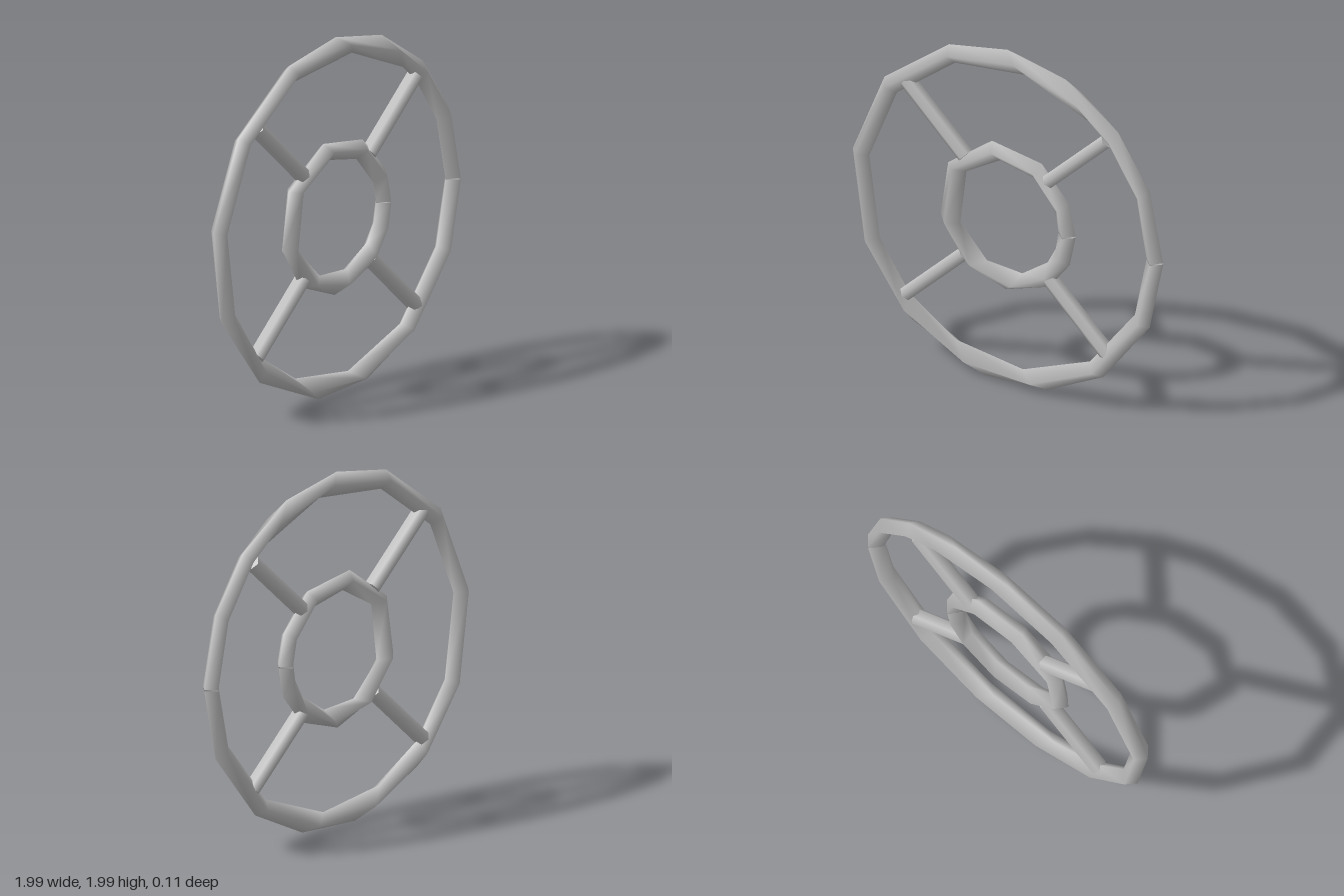
import * as THREE from 'three';

// Hoop with a diamond section: outer rim, front ridge, inner rim, back ridge.
// The outer and inner rims step round at slightly different angles (degrees).
function hoop(outerR, innerR, depth, outerAngles, innerAngles) {
  const midR = (outerR + innerR) / 2 + 0.005;
  const pos = [], index = [];
  const n = outerAngles.length;
  const add = (r, deg, z) => {
    const a = THREE.MathUtils.degToRad(deg);
    pos.push(r * Math.cos(a), 1 + r * Math.sin(a), z);
  };
  for (let i = 0; i < n; i++) {
    const mid = (outerAngles[i] + innerAngles[i]) / 2;
    add(outerR, outerAngles[i], 0);
    add(midR, mid, depth);
    add(innerR, innerAngles[i], 0);
    add(midR, mid, -depth);
  }
  for (let i = 0; i < n - 1; i++) {
    for (let j = 0; j < 4; j++) {
      const k = (j + 1) % 4;
      const a = i * 4 + j, b = i * 4 + k, d = a + 4, c = b + 4;
      index.push(a, d, b, b, d, c);
    }
  }
  const g = new THREE.BufferGeometry();
  g.setAttribute('position', new THREE.Float32BufferAttribute(pos, 3));
  g.setIndex(index);
  g.computeVertexNormals();
  return g;
}

export function createModel() {
  const group = new THREE.Group();
  const grey = new THREE.MeshStandardMaterial({ color: 0xc0c0c0, side: THREE.DoubleSide });
  grey.name = 'light grey';

  const add = (name, geometry) => {
    const mesh = new THREE.Mesh(geometry, grey);
    mesh.name = name;
    group.add(mesh);
    return mesh;
  };

  // Rings, each with a hairline seam at +x
  add('outerRing', hoop(1, 0.893, 0.057,
    [0.2, 24, 45, 68, 90, 112, 142, 172.5, 203, 232, 262, 285, 308, 336, 359.7],
    [0.2, 22.5, 43, 52.5, 81.5, 112, 142.5, 172.5, 203.5, 225.5, 248.5, 276.5, 306.5, 336.5, 359.9]));
  add('innerRing', hoop(0.438, 0.328, 0.057,
    [0.4, 25, 60, 103, 150, 193, 229, 269, 308, 336, 359.4],
    [0.4, 21, 59, 98, 143, 203, 247, 287, 322, 342, 359.8]));

  // Four diagonal spokes
  for (const sx of [1, -1]) {
    for (const sy of [1, -1]) {
      const from = new THREE.Vector3(sx * 0.268, 1 + sy * 0.29, 0);
      const to = new THREE.Vector3(sx * 0.645, 1 + sy * 0.64, 0);
      const dir = to.clone().sub(from);
      const geometry = new THREE.CylinderGeometry(0.043, 0.043, dir.length(), 6);
      geometry.scale(1, 1, 1.15);
      const spoke = add((sy > 0 ? 'upper' : 'lower') + (sx > 0 ? 'Left' : 'Right') + 'Spoke', geometry);
      spoke.position.copy(from).add(to).multiplyScalar(0.5);
      spoke.rotation.z = Math.atan2(dir.y, dir.x) - Math.PI / 2;
    }
  }
  return group;
}
